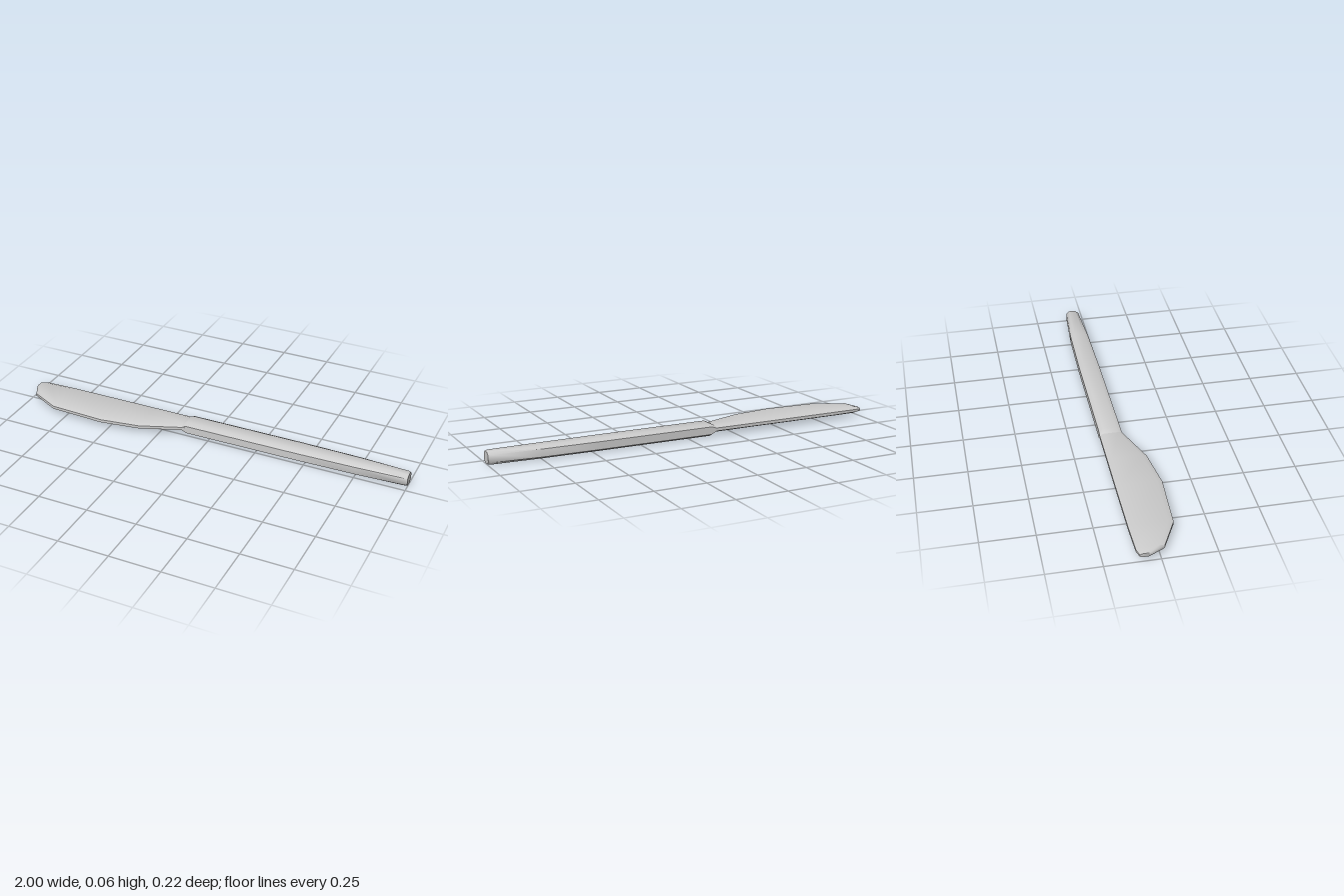
import * as THREE from 'three';
import { toCreasedNormals } from 'three/addons/utils/BufferGeometryUtils.js';

// Chamfered rectangle, anticlockwise seen from +x; chamfer sizes along z and y
function section([x, back, front, bottom, top, cz, cy]) {
  return [
    [x, top, back + cz], [x, top, front - cz],
    [x, top - cy, front], [x, bottom + cy, front],
    [x, bottom, front - cz], [x, bottom, back + cz],
    [x, bottom + cy, back], [x, top - cy, back],
  ];
}

// Skin a row of sections running towards +x and close both ends
function loft(rows) {
  const n = 8, last = (rows.length - 1) * n, index = [];
  for (let i = 0; i < rows.length - 1; i++) {
    for (let j = 0; j < n; j++) {
      const a = i * n + j, b = i * n + (j + 1) % n;
      index.push(a, b, b + n, a, b + n, a + n);
    }
  }
  for (let j = 1; j < n - 1; j++) {
    index.push(0, j + 1, j, last, last + j, last + j + 1);
  }
  const geometry = new THREE.BufferGeometry();
  geometry.setAttribute('position', new THREE.Float32BufferAttribute(rows.flatMap(section).flat(), 3));
  geometry.setIndex(index);
  return toCreasedNormals(geometry, 1.0);
}

export function createModel() {
  const model = new THREE.Group();
  model.name = 'tableKnife';
  const material = new THREE.MeshStandardMaterial({ color: 0xcccccc });
  const add = (name, rows) => {
    const mesh = new THREE.Mesh(loft(rows), material);
    mesh.name = name;
    model.add(mesh);
  };

  // Flat blade with a straight back and a bellied cutting edge
  // columns: x, back z, front z, bottom y, top y, chamfer z, chamfer y
  add('blade', [
    [-1.00, -0.095, -0.045, 0.024, 0.043, 0.010, 0.005],
    [-0.965, -0.105, 0.020, 0.017, 0.050, 0.022, 0.010],
    [-0.82, -0.109, 0.093, 0.017, 0.050, 0.024, 0.009],
    [-0.54, -0.110, 0.106, 0.017, 0.050, 0.024, 0.009],
    [-0.34, -0.110, 0.077, 0.017, 0.050, 0.024, 0.009],
    [-0.14, -0.110, 0.000, 0.017, 0.050, 0.020, 0.009],
    [-0.10, -0.109, -0.006, 0.017, 0.050, 0.020, 0.009],
  ]);

  // Thicker handle, stepping up from the blade and tapering to the butt
  add('handle', [
    [-0.145, -0.110, -0.001, 0.016, 0.050, 0.020, 0.009],
    [-0.12, -0.110, -0.003, 0.000, 0.062, 0.022, 0.012],
    [0.45, -0.110, -0.006, 0.000, 0.062, 0.022, 0.012],
    [0.75, -0.105, -0.012, 0.000, 0.062, 0.021, 0.012],
    [0.99, -0.090, -0.024, 0.000, 0.062, 0.016, 0.013],
    [1.00, -0.087, -0.027, 0.003, 0.059, 0.015, 0.013],
  ]);
  return model;
}
